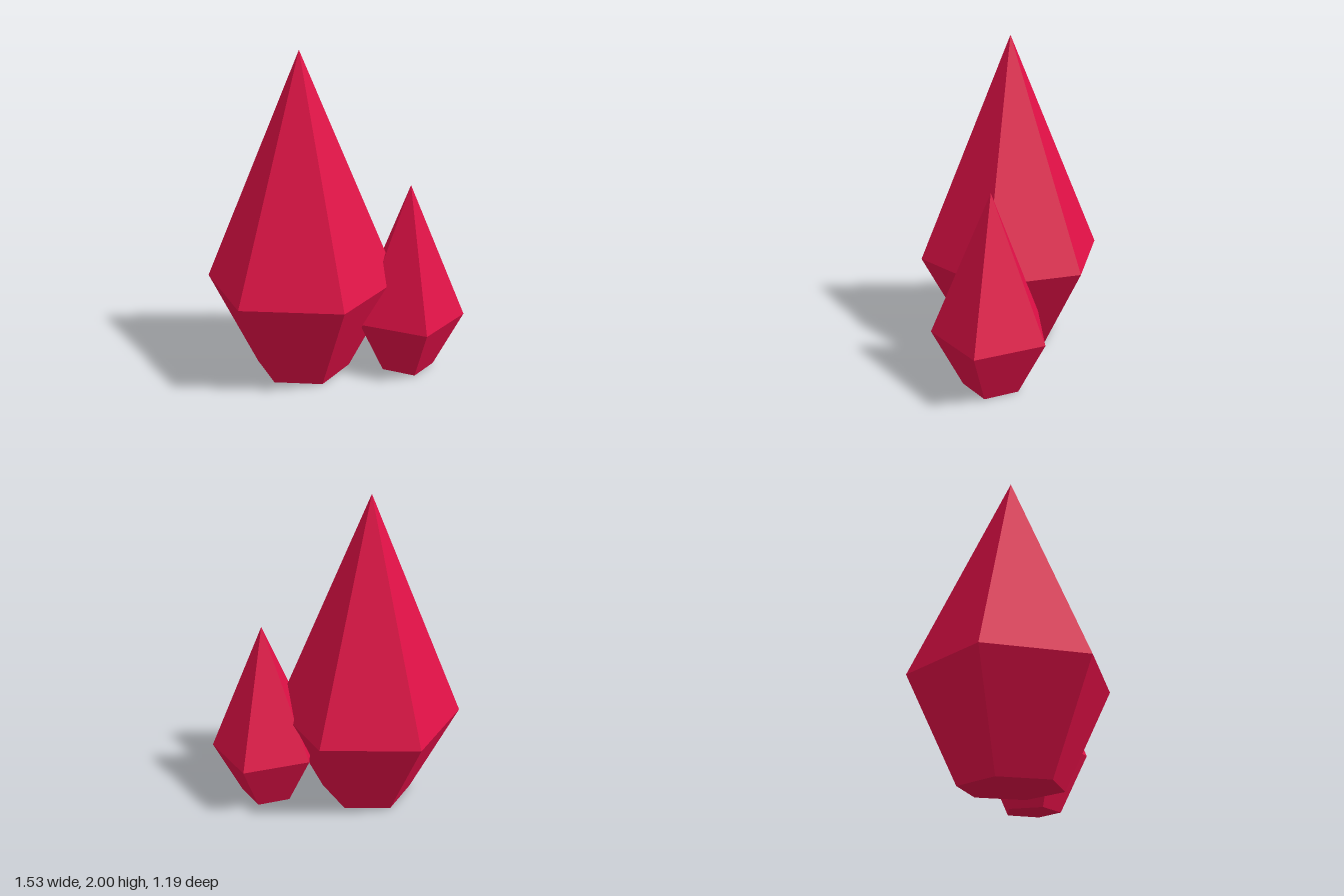
import * as THREE from 'three';

const crimson = new THREE.MeshStandardMaterial({ color: 0xe01046 });
crimson.name = 'crimson';

// Faceted mesh: unshared corners give each face its own flat normal
function facetMesh(name, geometry, y) {
  const faceted = geometry.toNonIndexed();
  faceted.computeVertexNormals();
  const mesh = new THREE.Mesh(faceted, crimson);
  mesh.name = name;
  mesh.position.y = y;
  return mesh;
}

// Crystal: a long pointed crown above a body that tapers to half width at the ground
function crystal(name, { x, z, radius, height, sides, turn }) {
  const group = new THREE.Group();
  group.name = name;
  const waist = height * 0.3;
  const start = THREE.MathUtils.degToRad(turn);
  const full = Math.PI * 2;

  const crown = new THREE.CylinderGeometry(0, radius, height - waist, sides, 1, true, start, full);
  const body = new THREE.CylinderGeometry(radius, radius / 2, waist, sides, 1, false, start, full);
  group.add(
    facetMesh('crown', crown, (height + waist) / 2),
    facetMesh('body', body, waist / 2)
  );
  group.position.set(x, 0, z);
  return group;
}

export function createModel() {
  const model = new THREE.Group();
  model.name = 'crystalCluster';
  model.add(
    crystal('largeCrystal', { x: -0.21, z: 0, radius: 0.6, height: 2, sides: 6, turn: 7.6 }),
    crystal('smallCrystal', { x: 0.428, z: 0.2, radius: 0.36, height: 1.2, sides: 5, turn: -4.5 })
  );
  return model;
}
